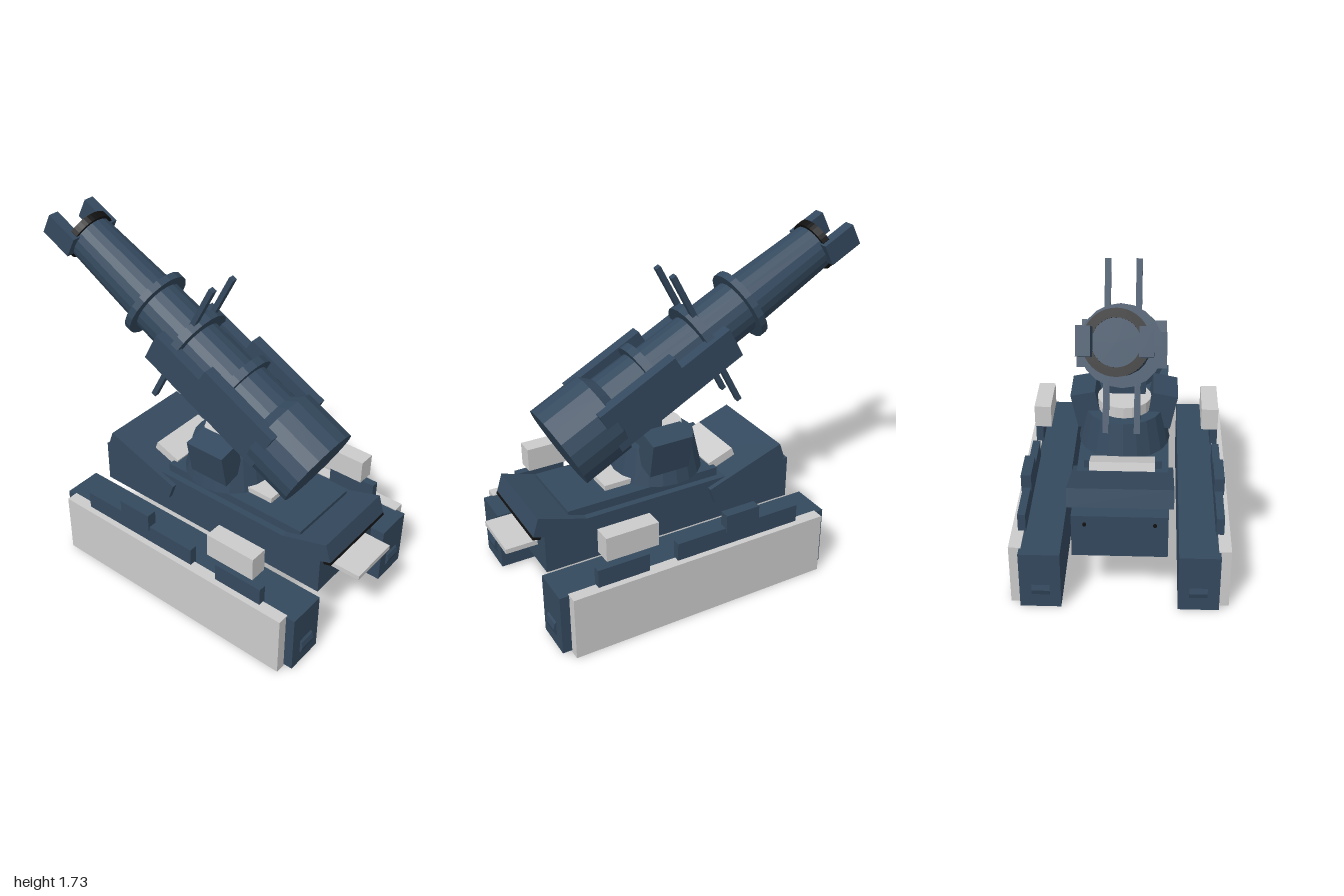
import * as THREE from 'three';

const mat = (color, extra = {}) => new THREE.MeshStandardMaterial({ color, flatShading: true, ...extra });

export function createModel() {
  const model = new THREE.Group();
  model.name = 'siegeGun';
  const blue = mat(0x34495e), grey = mat(0xcccccc), black = mat(0x111111);

  const add = (parent, name, geo, m, x = 0, y = 0, z = 0) => {
    const mesh = new THREE.Mesh(geo, m);
    mesh.name = name;
    mesh.position.set(x, y, z);
    parent.add(mesh);
    return mesh;
  };
  // box given by its min/max extents
  const box = (parent, name, m, x0, x1, y0, y1, z0, z1) =>
    add(parent, name, new THREE.BoxGeometry(x1 - x0, y1 - y0, z1 - z0), m,
      (x0 + x1) / 2, (y0 + y1) / 2, (z0 + z1) / 2);
  // box mirrored to both sides
  const pair = (parent, name, m, x0, x1, ...rest) => {
    box(parent, name + 'Left', m, x0, x1, ...rest);
    box(parent, name + 'Right', m, -x1, -x0, ...rest);
  };
  const tilted = (name, m, w, h, d, y, z, angle) => {
    const b = add(model, name, new THREE.BoxGeometry(w, h, d), m, 0, y, z);
    b.rotation.x = angle;
    return b;
  };

  // hull
  box(model, 'hull', blue, -0.235, 0.235, 0.295, 0.53, -0.56, 0.837);
  box(model, 'deck', blue, -0.2, 0.2, 0.52, 0.575, -0.14, 0.695);
  box(model, 'frontStep', grey, -0.14, 0.14, 0.4, 0.425, 0.8, 1);
  box(model, 'frontDeckPlate', grey, -0.12, 0.12, 0.57, 0.603, 0.3, 0.46);
  const prow = tilted('prow', blue, 0.47, 0.1, 0.3, 0.516, 0.735, -0.31);
  box(prow, 'prowStrip', black, -0.236, 0.236, -0.062, -0.048, 0.11, 0.151);
  tilted('sternPlate', blue, 0.52, 0.095, 0.45, 0.523, -0.294, 0.34);
  tilted('sternFlap', grey, 0.33, 0.045, 0.15, 0.592, -0.19, 0.36);
  for (const x of [-0.17, 0.17]) {
    add(model, 'sternBolt', new THREE.CylinderGeometry(0.009, 0.009, 0.02, 8), black, x, 0.485, -0.56)
      .rotation.x = Math.PI / 2;
  }

  // tracks, side skirts and the boxes on the fenders
  pair(model, 'track', blue, 0.29, 0.495, 0.01, 0.33, -0.612, 0.885);
  pair(model, 'skirt', grey, 0.485, 0.547, 0, 0.335, -0.565, 0.837);
  pair(model, 'fenderRail', blue, 0.475, 0.515, 0.32, 0.43, -0.425, 0.27);
  pair(model, 'fenderBox', blue, 0.475, 0.515, 0.32, 0.43, 0.425, 0.695);
  pair(model, 'fenderLocker', blue, 0.47, 0.523, 0.41, 0.505, -0.188, 0);
  pair(model, 'stowageBox', grey, 0.42, 0.512, 0.463, 0.59, 0.372, 0.647);
  for (const s of [-1, 1]) for (const z of [0.842, -0.56]) {
    add(model, 'trackHub', new THREE.CylinderGeometry(0.06, 0.06, 0.09, 12), blue, s * 0.39, 0.115, z)
      .rotation.z = Math.PI / 2;
  }

  // turntable
  add(model, 'turntable', new THREE.CylinderGeometry(0.2, 0.24, 0.185, 20), blue, 0, 0.667, 0.115);
  add(model, 'turntableCap', new THREE.CylinderGeometry(0.14, 0.14, 0.06, 20), grey, 0, 0.79, 0.115);
  box(model, 'gunMount', blue, -0.11, 0.11, 0.74, 0.93, 0.13, 0.25);
  for (const s of [-1, 1]) {
    const shield = add(model, 'sideShield', new THREE.BoxGeometry(0.13, 0.19, 0.22), blue, s * 0.195, 0.765, 0.16);
    shield.rotation.z = -s * 0.2;
  }

  // gun: local -z runs along the barrel, starting at the breech face
  const gun = new THREE.Group();
  gun.name = 'gun';
  gun.position.set(0, 0.815, 0.641);
  gun.rotation.x = 0.486;
  model.add(gun);
  const tube = (name, m, rBack, rFront, t0, t1, sides = 20) => {
    const g = new THREE.CylinderGeometry(rFront, rBack, t1 - t0, sides);
    g.rotateX(-Math.PI / 2);
    return add(gun, name, g, m, 0, 0, -(t0 + t1) / 2);
  };
  tube('breech', blue, 0.222, 0.222, 0, 0.275);
  tube('breechTaper', blue, 0.222, 0.165, 0.275, 0.325);
  tube('jacket', blue, 0.165, 0.16, 0.32, 0.56);
  tube('barrelRear', blue, 0.148, 0.142, 0.55, 1.16);
  tube('barrelFront', blue, 0.14, 0.122, 1.15, 1.682);
  tube('bandRear', blue, 0.198, 0.198, 0.53, 0.575);
  tube('bandMiddle', blue, 0.198, 0.198, 0.854, 0.9);
  tube('bandFront', blue, 0.19, 0.19, 1.14, 1.177);

  // muzzle ring
  const ringShape = new THREE.Shape().absarc(0, 0, 0.138, 0, Math.PI * 2);
  ringShape.holes.push(new THREE.Path().absarc(0, 0, 0.1, 0, Math.PI * 2, true));
  add(gun, 'muzzleRing', new THREE.ExtrudeGeometry(ringShape, { depth: 0.04, bevelEnabled: false, curveSegments: 20 }),
    black, 0, 0, -1.69);
  pair(gun, 'muzzleProng', blue, 0.095, 0.153, -0.06, 0.06, -1.827, -1.64);
  pair(gun, 'sightRod', blue, 0.06, 0.09, -0.415, 0.422, -0.905, -0.878);

  // stepped cradle cheeks
  const cheek = new THREE.Shape([[0.216, 0.14], [0.67, 0.14], [0.675, 0.07], [0.977, 0.07], [0.977, -0.1], [0.216, -0.1]]
    .map(([t, v]) => new THREE.Vector2(t, v)));
  const cheekGeo = new THREE.ExtrudeGeometry(cheek, { depth: 0.06, bevelEnabled: false });
  cheekGeo.rotateY(Math.PI / 2);
  add(gun, 'cheekLeft', cheekGeo, blue, 0.153);
  add(gun, 'cheekRight', cheekGeo, blue, -0.213);
  return model;
}
